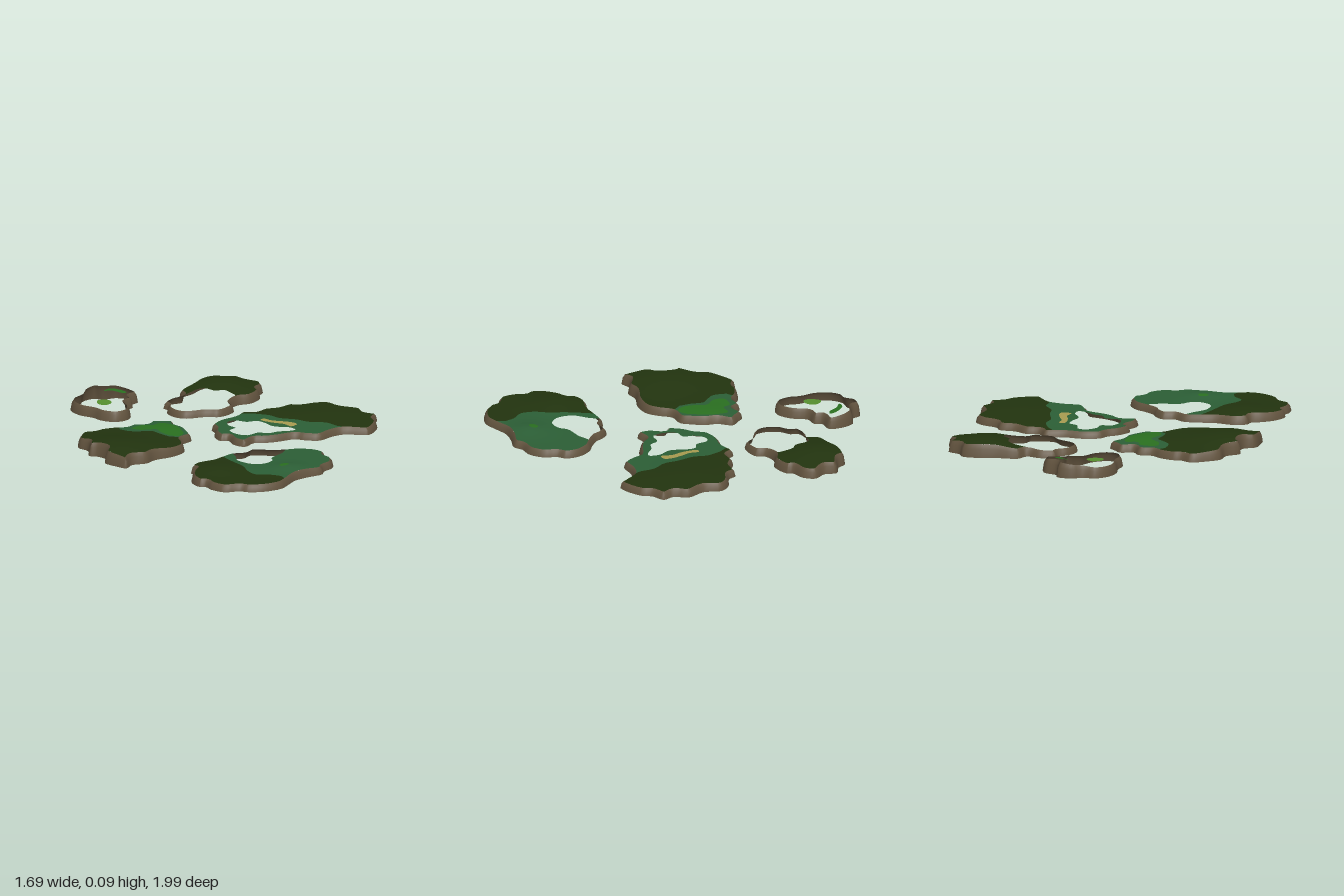
import * as THREE from 'three';
import { mergeVertices } from 'three/addons/utils/BufferGeometryUtils.js';

const STEPS = 4;     // samples per outline point
const INSET = 0.02;  // how far the rim leans in

const mat = (name, color) =>
  new THREE.MeshStandardMaterial({ name, color, side: THREE.DoubleSide });
const earth = mat('brown earth', 0x63543f);
const rough = mat('dark rough', 0x22340f);
const fairway = mat('blue green fairway', 0x2c5f36);
const grass = mat('bright green grass', 0x2a7020);
const lightGrass = mat('light green grass', 0x56902f);
const sand = mat('sand', 0xa89c50);

// Smooth curve through x,z pairs given in hundredths
function spline(flat, closed) {
  const pts = [];
  for (let i = 0; i < flat.length; i += 2) pts.push(new THREE.Vector3(flat[i] / 100, 0, flat[i + 1] / 100));
  const curve = new THREE.CatmullRomCurve3(pts, closed, 'centripetal');
  const n = (closed ? pts.length : pts.length - 1) * STEPS;
  const out = [];
  for (let i = 0; i < (closed ? n : n + 1); i++) {
    const p = curve.getPoint(i / n);
    out.push(new THREE.Vector2(p.x, p.z));
  }
  return out;
}
const loop = (flat) => spline(flat, true);
const path = (flat) => spline(flat, false);

// Move a clockwise loop inwards
function inset(ring, d) {
  const n = ring.length;
  return ring.map((p, i) => {
    const t = ring[(i + 1) % n].clone().sub(ring[(i + n - 1) % n]).normalize();
    return new THREE.Vector2(p.x - t.y * d, p.y + t.x * d);
  });
}

// Stretch of a ring between two outline points
function stretch(ring, from, to) {
  const n = ring.length, a = from * STEPS;
  let b = to * STEPS;
  if (b < a) b += n;
  const out = [];
  for (let i = a; i <= b; i++) out.push(ring[i % n]);
  return out;
}

// Gently rolling ground: base height plus round hills [x, z, height, radius]
const terrain = (base, hills) => (x, z) =>
  hills.reduce((h, [cx, cz, a, r]) => h + a * Math.exp(-((x - cx) ** 2 + (z - cz) ** 2) / (r * r)), base);

// Sloping, open wall around an island
function wall(ring, height) {
  const top = inset(ring, INSET), mid = inset(ring, 0.007);
  const pos = [], index = [], n = ring.length;
  for (let i = 0; i < n; i++) {
    const h = height(top[i].x, top[i].y);
    pos.push(ring[i].x, 0, ring[i].y, mid[i].x, h * 0.65, mid[i].y, top[i].x, h, top[i].y);
    const j = (i + 1) % n;
    for (let k = 0; k < 2; k++) {
      const a = i * 3 + k, b = j * 3 + k;
      index.push(a, a + 1, b, b, a + 1, b + 1);
    }
  }
  const g = new THREE.BufferGeometry();
  g.setAttribute('position', new THREE.Float32BufferAttribute(pos, 3));
  g.setIndex(index);
  g.computeVertexNormals();
  return g;
}

// Filled area, divided finely and draped over the terrain
function ground(border, holes, height) {
  const flip = (pts) => pts.map((p) => new THREE.Vector2(p.x, -p.y));
  const shape = new THREE.Shape(flip(border));
  holes.forEach((h) => shape.holes.push(new THREE.Path(flip(h))));
  const flat = new THREE.ShapeGeometry(shape).toNonIndexed().getAttribute('position');
  let pts = [];
  for (let i = 0; i < flat.count; i++) pts.push(new THREE.Vector2(flat.getX(i), -flat.getY(i)));
  for (let level = 0; level < 3; level++) {
    const next = [];
    for (let i = 0; i < pts.length; i += 3) {
      const [a, b, c] = [pts[i], pts[i + 1], pts[i + 2]];
      const ab = a.clone().lerp(b, 0.5), bc = b.clone().lerp(c, 0.5), ca = c.clone().lerp(a, 0.5);
      next.push(a, ab, ca, ab, b, bc, ca, bc, c, ab, bc, ca);
    }
    pts = next;
  }
  const pos = [];
  pts.forEach((p) => pos.push(p.x, height(p.x, p.y), p.y));
  let g = new THREE.BufferGeometry();
  g.setAttribute('position', new THREE.Float32BufferAttribute(pos, 3));
  g = mergeVertices(g, 1e-5);
  g.computeVertexNormals();
  return g;
}

// An island: wall plus ground areas [name, material, border, holes]
function island(name, outline, height, areas) {
  const group = new THREE.Group();
  group.name = name;
  const add = (label, geometry, material) => {
    const m = new THREE.Mesh(geometry, material);
    m.name = label;
    group.add(m);
  };
  const ring = loop(outline);
  add('earthWall', wall(ring, height), earth);
  const top = inset(ring, INSET);
  areas((a, b) => stretch(top, a, b)).forEach(([label, material, border, holes = []]) =>
    add(label, ground(border, holes, height), material));
  return group;
}

export function createModel() {
  const model = new THREE.Group();
  model.name = 'islands';

  // Small back island, an open ring with two grass spots
  model.add(island('backIsland',
    [2, -100, 10, -99, 12, -94, 19, -91, 22, -83, 21, -76, 13, -75, 11, -71, 4, -70, -1, -62, -9, -57,
      -17, -59, -20, -67, -19, -74, -20, -83, -17, -92, -11, -97, -4, -97],
    terrain(0.056, [[0.12, -0.95, 0.03, 0.15]]),
    () => [
      ['lightSpot', lightGrass, loop([-11, -77, -9, -80, -6, -82, -2, -79, -2, -76, -5, -73, -10, -73])],
      ['kidneySpot', grass, loop([6, -88, 11, -88, 15, -83, 15, -79, 12, -80, 10, -85])],
    ]));

  // Right back island, half open
  model.add(island('rightBackIsland',
    [12, -41, 15, -49, 20, -53, 21, -57, 29, -59, 37, -57, 41, -63, 54, -64, 62, -66, 72, -65, 75, -60, 82, -56,
      81, -49, 85, -42, 81, -36, 73, -33, 72, -30, 61, -27, 53, -30, 45, -28, 42, -23, 29, -22, 24, -28, 14, -34],
    terrain(0.038, [[0.63, -0.53, 0.047, 0.22]]),
    (edge) => [
      ['rough', rough, [...edge(5, 18), ...path([54, -33, 54, -41, 50, -44, 49, -51, 46, -54, 40, -55])]],
    ]));

  // Front island with a bay at its back edge
  const frontSplit = path([-42, 45, -46, 55, -49, 64, -54, 72, -55, 79, -50, 85, -48, 91]);
  const frontSpot = loop([-36, 80, -34, 78, -31, 78, -30, 80, -31, 82, -35, 82]);
  model.add(island('frontIsland',
    [-60, 38, -49, 40, -40, 39, -31, 39, -25, 43, -18, 42, -13, 47, -11, 51, -5, 56, 1, 60, 6, 68, 6, 76, 2, 80,
      0, 87, -7, 93, -15, 94, -20, 97, -29, 95, -39, 94, -49, 97, -57, 99, -67, 96, -74, 90, -76, 85, -83, 80,
      -84, 71, -82, 65, -84, 62, -81, 54, -74, 48, -68, 45, -67, 41],
    terrain(0.04, [[-0.62, 0.56, 0.02, 0.15], [-0.32, 0.83, 0.017, 0.1]]),
    (edge) => [
      ['rough', rough, [...edge(19, 2), ...frontSplit]],
      ['fairway', fairway, [...edge(8, 19), ...frontSplit.slice().reverse(), ...edge(2, 3),
        ...path([-35, 46, -41, 53, -41, 63, -35, 68, -28, 67, -24, 63, -13, 61])], [frontSpot]],
      ['grassSpot', grass, frontSpot],
    ]));

  // Right island with an open pond and a sand strip
  const rightSplit = path([37, -4, 40, 5, 39, 13, 42, 23, 43, 32, 48, 40, 48, 48]);
  const pond = loop([15, -4, 20, -3, 22, 4, 27, 7, 27, 13, 25, 20, 26, 24, 29, 29, 28, 35, 24, 34, 19, 30,
    13, 28, 10, 23, 2, 22, 0, 16, 3, 8, 9, 7, 10, 1]);
  const strip = loop([30, 7, 33, 7, 33, 13, 35, 18, 37, 25, 36, 29, 31, 29, 32, 23, 30, 16]);
  model.add(island('rightIsland',
    [15, -11, 27, -10, 37, -12, 41, -7, 49, -7, 56, -3, 65, -2, 68, 3, 77, 7, 82, 13, 80, 23, 84, 34, 80, 41,
      82, 48, 75, 52, 71, 58, 57, 64, 54, 61, 48, 53, 40, 51, 30, 51, 25, 44, 23, 39, 13, 35, 6, 31, 2, 27,
      -7, 28, -8, 21, -4, 13, -7, 10, -3, 2, 3, -3, 6, -8],
    terrain(0.037, [[0.62, 0.28, 0.018, 0.22]]),
    (edge) => [
      ['rough', rough, [...edge(1.5, 18), ...rightSplit.slice().reverse()]],
      ['fairway', fairway, [...edge(18, 1.5), ...rightSplit], [pond, strip]],
      ['sandStrip', sand, strip],
    ]));

  // Left island with a bright green at its inner end
  const leftSplit = path([-38, -38, -38, -30, -33, -24, -30, -21, -31, -13, -31, -7]);
  const green = loop([-32, -34, -23, -34, -20, -29, -13, -29, -12, -23, -13, -17, -17, -10, -20, -6, -26, -4,
    -29, -8, -28, -16, -26, -21, -32, -28]);
  model.add(island('leftIsland',
    [-55, -50, -49, -47, -44, -47, -36, -44, -31, -40, -23, -40, -19, -35, -12, -37, -8, -33, -4, -28, -9, -21,
      -10, -14, -14, -7, -18, -2, -27, -1, -32, 5, -38, 10, -49, 11, -60, 8, -68, 9, -76, 5, -83, 7, -84, 0,
      -83, -9, -77, -13, -76, -21, -78, -25, -71, -32, -70, -40, -63, -46],
    terrain(0.04, [[-0.68, -0.14, 0.043, 0.26], [-0.2, -0.2, 0.01, 0.12]]),
    (edge) => [
      ['rough', rough, [...edge(14, 3.5), ...leftSplit]],
      ['fairway', fairway, [...edge(3.5, 14), ...leftSplit.slice().reverse()], [green]],
      ['green', grass, green],
    ]));

  return model;
}
